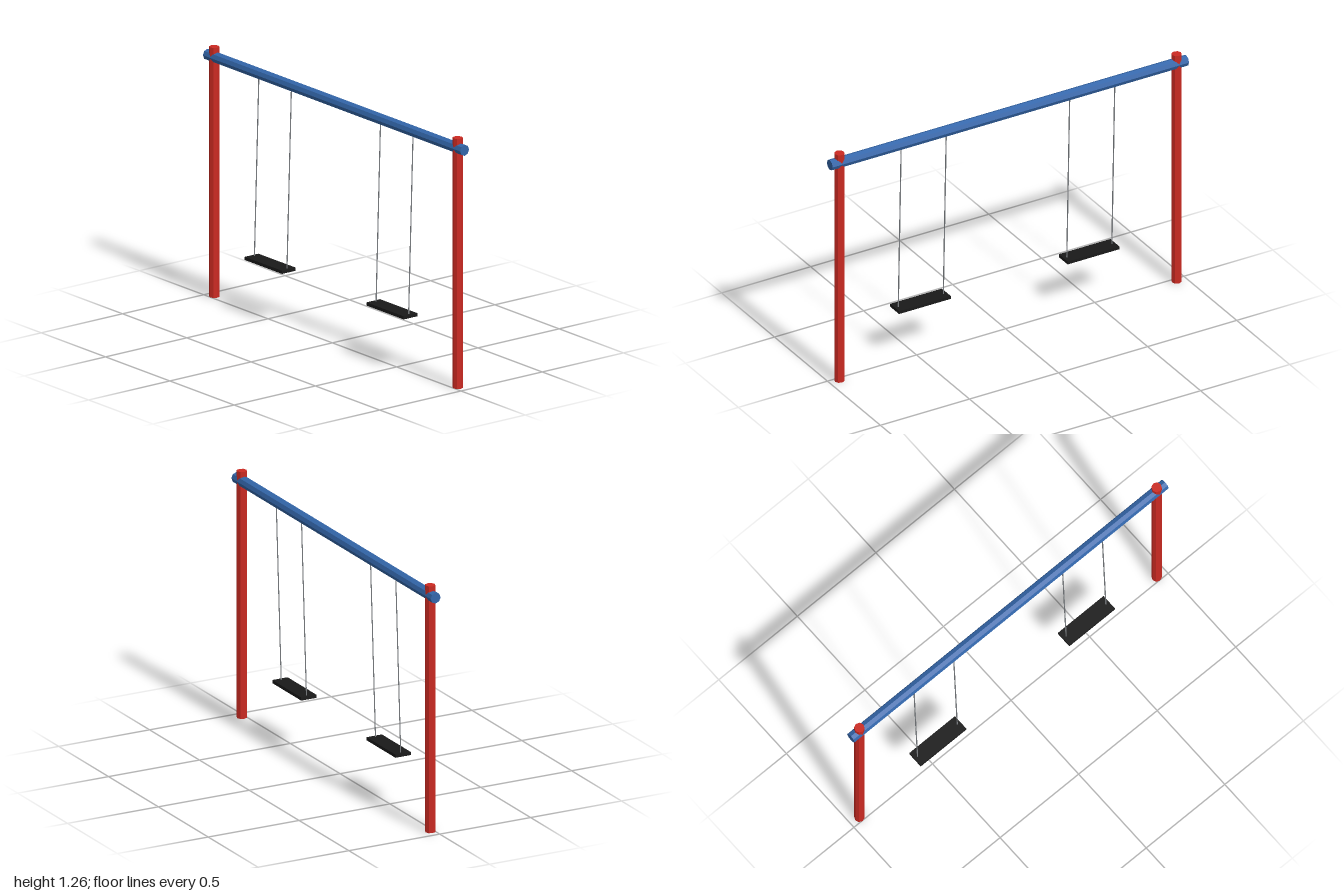
import * as THREE from 'three';

export function createModel() {
  const model = new THREE.Group();
  model.name = 'swingSet';

  const mat = (name, color) => {
    const m = new THREE.MeshStandardMaterial({ color });
    m.name = name;
    m.flatShading = true;
    return m;
  };
  const red = mat('postRed', 0xcc2a22);
  const blue = mat('beamBlue', 0x3366aa);
  const black = mat('seatBlack', 0x1a1a1a);
  const grey = mat('chainGrey', 0x808488);

  const frameZ = -0.0225, beamY = 1.211, seatY = 0.286, seatZ = 0.008;

  const add = (parent, name, geometry, material, x, y, z) => {
    const mesh = new THREE.Mesh(geometry, material);
    mesh.name = name;
    mesh.position.set(x, y, z);
    parent.add(mesh);
  };

  // Octagonal top beam
  const beamGeo = new THREE.CylinderGeometry(0.0275, 0.0275, 2, 8).rotateZ(Math.PI / 2);
  add(model, 'topBeam', beamGeo, blue, 0, beamY, frameZ);

  const postGeo = new THREE.CylinderGeometry(0.0255, 0.0255, 1.263, 8);
  const seatGeo = new THREE.BoxGeometry(0.29, 0.016, 0.084);

  // Chains hang from the beam and lean slightly forward to the seat
  const top = new THREE.Vector3(0, beamY - 0.01, frameZ);
  const bottom = new THREE.Vector3(0, seatY, 0.005);
  const lean = top.clone().sub(bottom);
  const chainGeo = new THREE.CylinderGeometry(0.003, 0.003, lean.length(), 6);
  chainGeo.rotateX(Math.atan2(lean.z, lean.y));
  const mid = top.clone().add(bottom).multiplyScalar(0.5);

  for (const side of [1, -1]) {
    const label = side > 0 ? 'left' : 'right';
    add(model, label + 'Post', postGeo, red, side * 0.946, 1.263 / 2, frameZ);

    const swing = new THREE.Group();
    swing.name = label + 'Swing';
    swing.position.x = side * 0.473;
    add(swing, 'seat', seatGeo, black, 0, seatY, seatZ);
    for (const end of [1, -1]) add(swing, 'chain', chainGeo, grey, end * 0.1265, mid.y, mid.z);
    model.add(swing);
  }
  return model;
}
